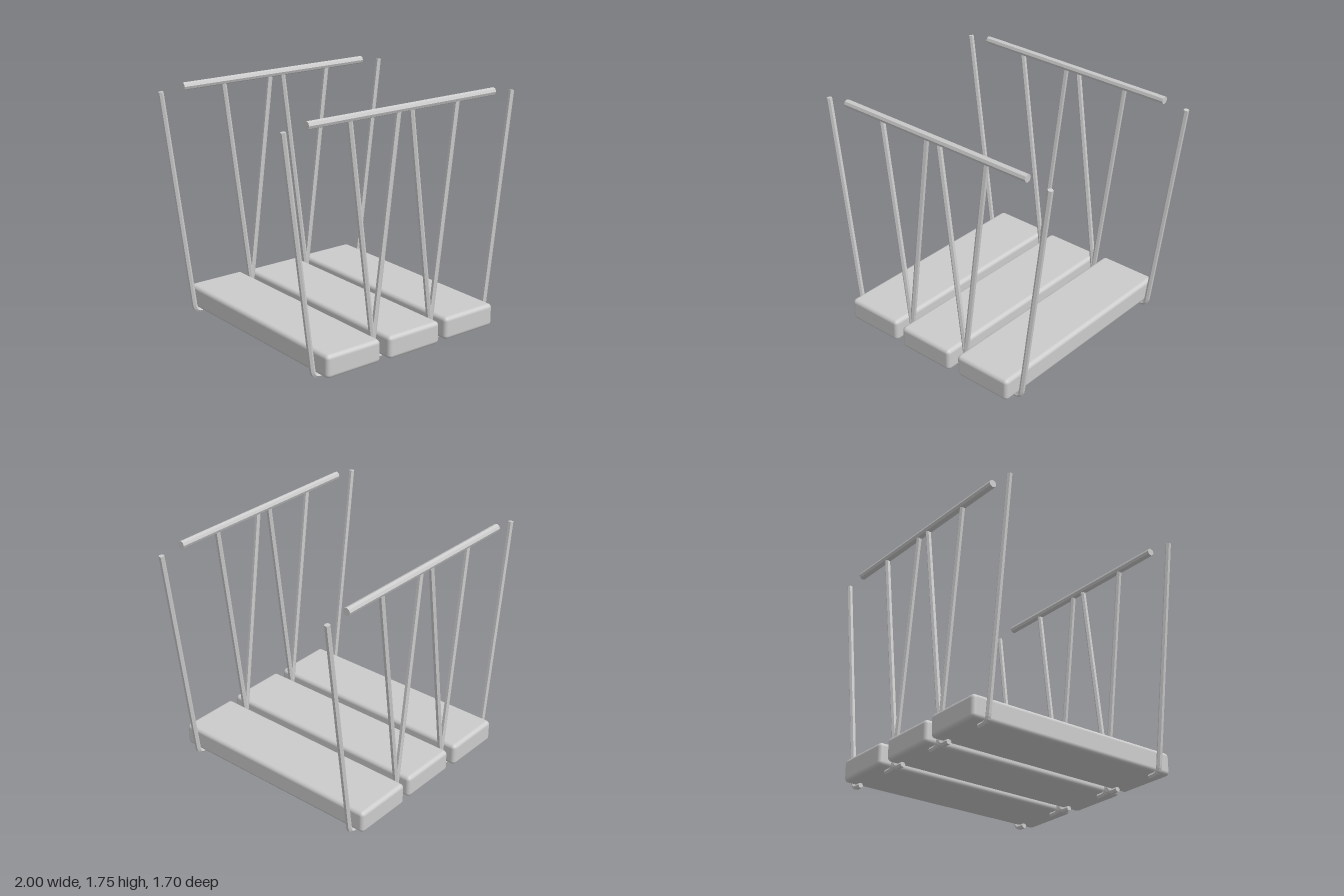
import * as THREE from 'three';
import { RoundedBoxGeometry } from 'three/addons/geometries/RoundedBoxGeometry.js';
import { mergeGeometries } from 'three/addons/utils/BufferGeometryUtils.js';

const smooth = new THREE.MeshStandardMaterial({ color: 0xcccccc });
const faceted = new THREE.MeshStandardMaterial({ color: 0xcccccc, flatShading: true });

const ROPE_R = 0.02;
const ROPE_SIDES = 6;

// Flat end cap for a rope, facing along the given direction
function ropeCap(point, dir) {
  const x = new THREE.Vector3(0, 0, 1);
  const y = new THREE.Vector3().crossVectors(dir, x);
  const m = new THREE.Matrix4().makeBasis(x, y, dir).setPosition(point);
  return new THREE.CircleGeometry(ROPE_R, ROPE_SIDES).applyMatrix4(m);
}

// Rope that hooks under a plank edge and slants up and outwards
function ropeGeometry(side) {
  const p = (x, y) => new THREE.Vector3(side * x, y, 0);
  const path = new THREE.CurvePath();
  path.add(new THREE.LineCurve3(p(0.16, 0.0175), p(0.205, 0.0175)));
  path.add(new THREE.QuadraticBezierCurve3(p(0.205, 0.0175), p(0.246, 0.0175), p(0.253, 0.07)));
  path.add(new THREE.LineCurve3(p(0.253, 0.07), p(0.464, 1.708)));
  const tube = new THREE.TubeGeometry(path, 100, ROPE_R, ROPE_SIDES, false);
  const start = ropeCap(path.getPointAt(0), path.getTangentAt(0).negate());
  const end = ropeCap(path.getPointAt(1), path.getTangentAt(1));
  return mergeGeometries([tube, start, end]);
}

export function createModel() {
  const group = new THREE.Group();
  const add = (name, geometry, material, x, y, z) => {
    const mesh = new THREE.Mesh(geometry, material);
    mesh.name = name;
    mesh.position.set(x, y, z);
    group.add(mesh);
  };

  const plank = new RoundedBoxGeometry(0.456, 0.167, 1.687, 3, 0.03);
  const ropes = { left: ropeGeometry(1), right: ropeGeometry(-1) };
  const rail = new THREE.CylinderGeometry(0.028, 0.028, 1.61, 8).rotateZ(Math.PI / 2);
  const ends = { front: 0.703, back: -0.752 };

  // Three planks side by side, the middle one shifted slightly forward
  const planks = [['right', -0.52, -0.009], ['middle', 0, 0.002], ['left', 0.52, -0.009]];
  for (const [label, x, z] of planks) {
    add(`${label}Plank`, plank, smooth, x, 0.116, z);
    // A pair of ropes at each end of the plank
    for (const [end, ropeZ] of Object.entries(ends)) {
      for (const [side, geometry] of Object.entries(ropes)) {
        add(`${label}Plank ${end} ${side} rope`, geometry, faceted, x, 0, ropeZ);
      }
    }
  }

  // Hand rails above the front and back ropes
  for (const [end, z] of Object.entries(ends)) add(`${end}Rail`, rail, faceted, 0, 1.723, z);

  return group;
}
